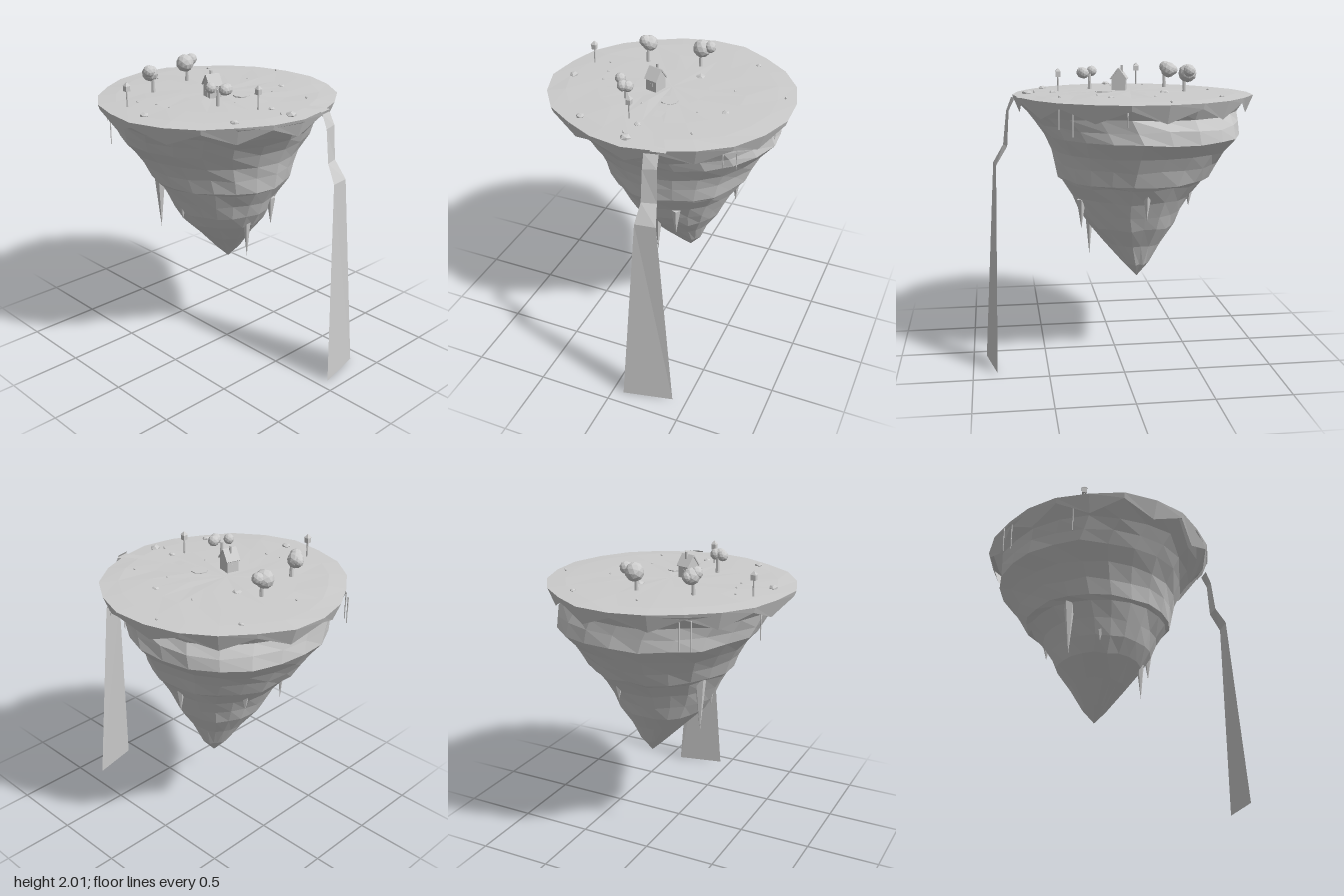
import * as THREE from 'three';

const N = 22, CX = -0.11;
const stone = new THREE.MeshStandardMaterial({ color: 0xcccccc, side: THREE.DoubleSide });
stone.name = 'pale grey';

let seed = 7;
const rnd = () => {
  seed = (seed * 16807) % 2147483647;
  return seed / 2147483647 - 0.5;
};

function flat(geometry) {
  const g = geometry.index ? geometry.toNonIndexed() : geometry;
  g.computeVertexNormals();
  return g;
}

function add(parent, name, geometry, x = 0, y = 0, z = 0) {
  const mesh = new THREE.Mesh(flat(geometry), stone);
  mesh.name = name;
  mesh.position.set(x, y, z);
  parent.add(mesh);
  return mesh;
}

// Skin rings of points with quads; closed rings wrap round
function loft(rings, closed = true) {
  const n = rings[0].length, index = [];
  for (let j = 0; j < rings.length - 1; j++) {
    for (let i = 0; i < (closed ? n : n - 1); i++) {
      const a = j * n + i, b = j * n + (i + 1) % n;
      index.push(a, b, a + n, b, b + n, a + n);
    }
  }
  const g = new THREE.BufferGeometry();
  g.setAttribute('position', new THREE.Float32BufferAttribute(rings.flat(2), 3));
  g.setIndex(index);
  return g;
}

const ring = (f) => Array.from({ length: N }, (_, i) => f(i, Math.cos(i / N * Math.PI * 2), Math.sin(i / N * Math.PI * 2)));

export function createModel() {
  const island = new THREE.Group();
  island.name = 'floatingIsland';

  // Meadow: gently domed top with a jagged overhanging skirt
  const rim = [0.8, 0.79, 0.78, 0.81, 0.82, 0.83, 0.8, 0.8, 0.785, 0.77, 0.79,
    0.81, 0.825, 0.8, 0.81, 0.82, 0.82, 0.83, 0.82, 0.82, 0.8, 0.79];
  const meadow = [[0, 1.826], [0.3, 1.825], [0.6, 1.822], [0.85, 1.818], [1, 1.81]].map(([k, y]) =>
    ring((i, c, s) => [CX + c * rim[i] * k, y + (k > 0 && k < 1 ? rnd() * 0.005 : 0), s * rim[i] * k]));
  meadow.push(ring((i, c, s) => {
    const r = rim[i] * (i % 2 ? 0.985 : 0.94);
    return [CX + c * r, i % 2 ? 1.775 : 1.69, s * r];
  }));
  add(island, 'meadow', loft(meadow));

  // Rock underside: height, centre x, centre z, radius x, radius z
  const strata = [
    [1.795, -0.11, 0, 0.775, 0.775], [1.7, -0.115, -0.005, 0.71, 0.69], [1.63, -0.15, -0.035, 0.68, 0.685],
    [1.55, -0.18, -0.055, 0.66, 0.675], [1.45, -0.165, -0.05, 0.595, 0.58], [1.36, -0.145, -0.055, 0.55, 0.53],
    [1.26, -0.125, -0.06, 0.51, 0.49], [1.235, -0.118, -0.06, 0.48, 0.46], [1.13, -0.105, -0.055, 0.4, 0.4],
    [1.03, -0.1, -0.055, 0.352, 0.35], [0.93, -0.11, -0.065, 0.297, 0.295], [0.8, -0.115, -0.09, 0.197, 0.19],
    [0.66, -0.13, -0.13, 0.09, 0.09], [0.56, -0.135, -0.14, 0, 0]];
  const bulge = ring(() => 1 + rnd() * 0.04);
  add(island, 'rockBody', loft(strata.map(([y, cx, cz, rx, rz]) => {
    const shift = rx ? 0.016 : 0;
    return ring((i, c, s) => {
      const k = bulge[i] + rnd() * 0.025;
      return [cx + c * rx * k, y + rnd() * shift, cz + s * rz * k];
    });
  })));

  // Stalactites: x, z, top, tip, radius
  for (const [x, z, top, tip, r] of [
    [-0.33, 0.32, 1.25, 0.87, 0.04], [-0.12, 0.3, 1.14, 0.98, 0.034], [0.18, -0.02, 1.07, 0.7, 0.038],
    [0.25, -0.18, 1.12, 0.92, 0.032], [-0.48, -0.2, 1.17, 1.06, 0.027], [-0.15, -0.46, 1.2, 1.02, 0.03]]) {
    const g = new THREE.ConeGeometry(r, top - tip, 5);
    g.rotateX(Math.PI);
    add(island, 'stalactite', g, x, (top + tip) / 2, z);
  }

  // Hanging roots: x, z, bottom
  for (const [x, z, y] of [[-0.325, 0.72, 1.57], [-0.735, 0.45, 1.58], [-0.79, 0.4, 1.59],
    [0.34, -0.61, 1.6], [0.42, -0.55, 1.64], [0.02, -0.75, 1.67]]) {
    add(island, 'hangingRoot', new THREE.CylinderGeometry(0.005, 0.003, 1.77 - y, 5), x, (1.77 + y) / 2, z);
  }

  // Lip of the stream at the rim, then the waterfall sheet: pairs of edge points
  add(island, 'streamLip', loft([
    [[0.62, 1.814, -0.27], [0.64, 1.814, -0.19]], [[0.655, 1.812, -0.28], [0.672, 1.812, -0.18]]], false));
  add(island, 'waterfall', loft([
    [[0.68, 1.81, -0.245], [0.7, 1.81, -0.155]], [[0.72, 1.73, -0.25], [0.735, 1.72, -0.16]],
    [[0.735, 1.5, -0.255], [0.76, 1.5, -0.16]], [[0.81, 1.38, -0.28], [0.828, 1.38, -0.145]],
    [[0.84, 0, -0.405], [0.912, 0, -0.075]]], false));

  // Pond and its stream
  add(island, 'pond', new THREE.CylinderGeometry(0.058, 0.058, 0.008, 9), 0.08, 1.828, -0.06);
  add(island, 'stream', loft([[0.12, -0.09, -0.035], [0.23, -0.095, -0.03], [0.3, -0.09, -0.03], [0.62, -0.26, -0.19]]
    .map(([x, z0, z1], i) => [[x, 1.83 - i * 0.003, z1], [x, 1.83 - i * 0.003, z0]]), false));

  // Cottage with gabled roof and chimney
  const house = new THREE.Group();
  house.name = 'cottage';
  house.position.set(-0.045, 1.82, 0.09);
  house.rotation.y = -0.27;
  island.add(house);
  const gable = new THREE.Shape([[-0.048, 0], [0.048, 0], [0.048, 0.085], [0, 0.15], [-0.048, 0.085]]
    .map(([x, y]) => new THREE.Vector2(x, y)));
  add(house, 'walls', new THREE.ExtrudeGeometry(gable, { depth: 0.084, bevelEnabled: false }), 0, 0, -0.042);
  for (const s of [-1, 1]) {
    const slab = add(house, 'roofSide', new THREE.BoxGeometry(0.09, 0.008, 0.1), s * 0.028, 0.117, 0);
    slab.rotation.z = -s * 0.93;
    add(house, 'window', new THREE.BoxGeometry(0.003, 0.022, 0.022), s * 0.049, 0.05, 0);
  }
  add(house, 'door', new THREE.BoxGeometry(0.022, 0.045, 0.004), 0, 0.0225, 0.043);
  add(house, 'chimney', new THREE.BoxGeometry(0.014, 0.06, 0.014), -0.018, 0.145, 0);

  // Trees: trunk x, z, then leaf balls as x, y, z, radius
  const trees = [
    [-0.47, -0.06, [[-0.49, 1.945, -0.06, 0.062], [-0.49, 1.965, -0.12, 0.04]]],
    [-0.4, 0.3, [[-0.43, 1.945, 0.3, 0.055], [-0.41, 1.965, 0.325, 0.042], [-0.46, 1.945, 0.29, 0.035]]],
    [0.145, 0.215, [[0.19, 1.935, 0.18, 0.038], [0.2, 1.938, 0.21, 0.038], [0.125, 1.945, 0.26, 0.036]]]];
  for (const [x, z, balls] of trees) {
    add(island, 'treeTrunk', new THREE.CylinderGeometry(0.01, 0.015, 0.12, 6), x, 1.87, z);
    for (const [bx, by, bz, r] of balls) add(island, 'foliage', new THREE.IcosahedronGeometry(r, 1), bx, by, bz);
  }

  // Lantern posts
  for (const [x, z] of [[-0.25, 0.635], [0.375, 0.085]]) {
    add(island, 'lanternPost', new THREE.CylinderGeometry(0.006, 0.006, 0.11, 6), x, 1.87, z);
    add(island, 'lantern', new THREE.BoxGeometry(0.032, 0.035, 0.032), x, 1.937, z);
    const cap = new THREE.ConeGeometry(0.027, 0.025, 4);
    cap.rotateY(Math.PI / 4);
    add(island, 'lanternCap', cap, x, 1.967, z);
  }

  // Boulders and pebbles
  for (const [x, z, r] of [[-0.64, -0.42, 0.019], [0.08, -0.44, 0.026], [-0.32, -0.12, 0.036], [0.42, 0.01, 0.025],
    [0.59, 0.01, 0.037], [0.465, 0.38, 0.028], [-0.025, 0.68, 0.031]]) {
    const boulder = add(island, 'boulder', new THREE.IcosahedronGeometry(r, 0), x, 1.82, z);
    boulder.scale.y = 0.6;
    boulder.rotation.y = x * 9;
  }
  for (const [x, z] of [[-0.25, -0.73], [-0.21, -0.4], [0.15, -0.28], [0.4, -0.34], [-0.66, 0.05],
    [0.54, 0.05], [0.175, 0.09], [-0.28, 0.53], [-0.145, 0.48], [-0.035, 0.465]]) {
    add(island, 'pebble', new THREE.IcosahedronGeometry(0.009, 0), x, 1.824, z);
  }
  return island;
}
